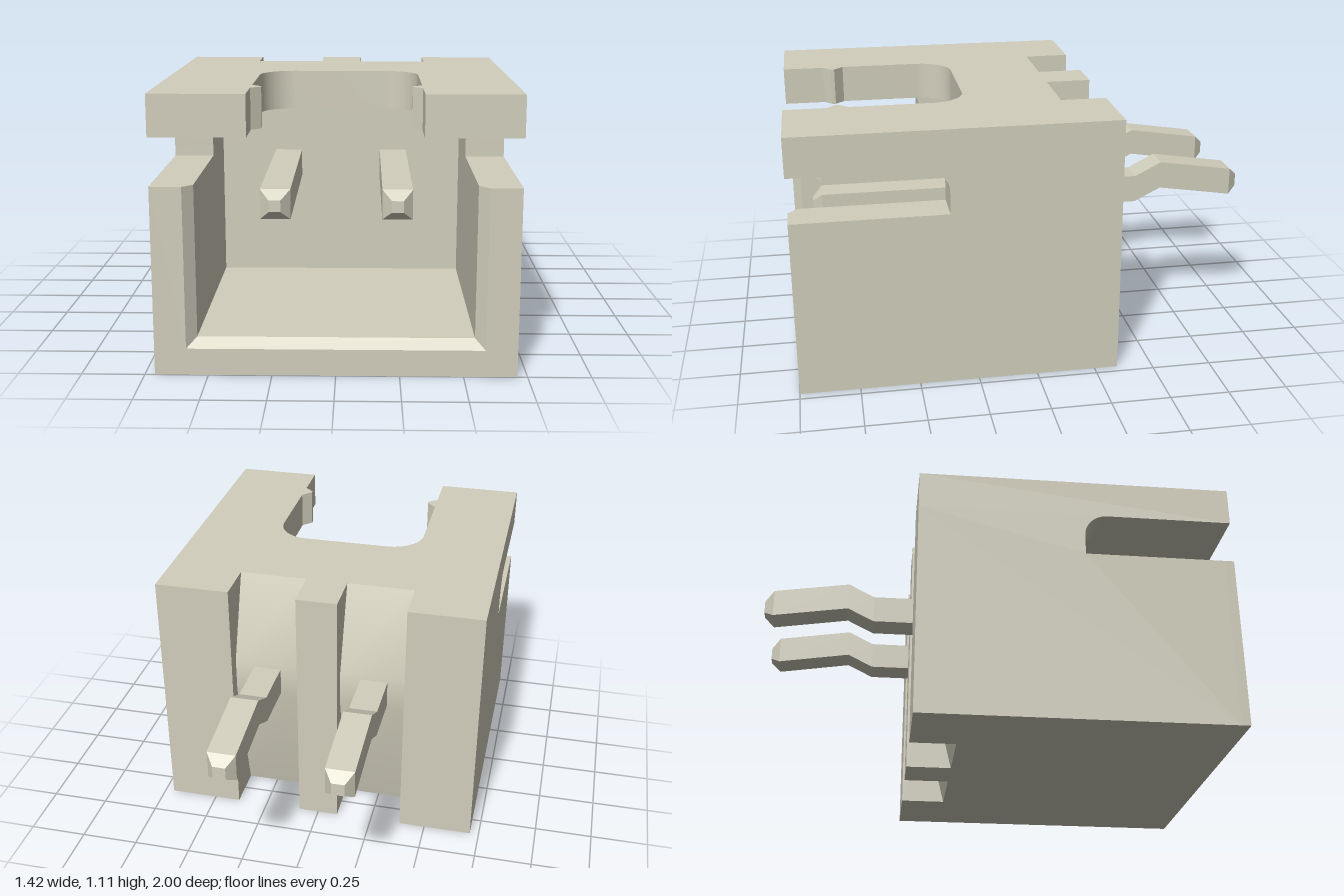
import * as THREE from 'three';
import { toCreasedNormals } from 'three/addons/utils/BufferGeometryUtils.js';

// Joins four-cornered rings into a closed, flat-shaded solid.
function loft(rings) {
  const pos = [];
  const tri = (...pts) => pts.forEach((p) => pos.push(...p));
  for (let i = 0; i < rings.length - 1; i++) {
    const a = rings[i], b = rings[i + 1];
    for (let j = 0; j < 4; j++) {
      const k = (j + 1) % 4;
      tri(a[j], b[j], b[k]);
      tri(a[j], b[k], a[k]);
    }
  }
  const s = rings[0], e = rings[rings.length - 1];
  tri(s[0], s[1], s[2]); tri(s[0], s[2], s[3]);
  tri(e[0], e[2], e[1]); tri(e[0], e[3], e[2]);
  const g = new THREE.BufferGeometry();
  g.setAttribute('position', new THREE.Float32BufferAttribute(pos, 3));
  g.computeVertexNormals();
  return g;
}

const extrude = (shape, depth) =>
  new THREE.ExtrudeGeometry(shape, { depth, bevelEnabled: false, curveSegments: 12 });

// Extrudes a (z, y) profile across x0..x1.
const acrossX = (shape, x0, x1) =>
  toCreasedNormals(extrude(shape, x1 - x0).rotateY(-Math.PI / 2).translate(x1, 0, 0), 0.5);

// Box given by its limits.
const block = (x0, x1, y0, y1, z0, z1) =>
  new THREE.BoxGeometry(x1 - x0, y1 - y0, z1 - z0)
    .translate((x0 + x1) / 2, (y0 + y1) / 2, (z0 + z1) / 2);

const polygon = (pts) => new THREE.Shape(pts.map(([x, y]) => new THREE.Vector2(x, y)));

export function createModel() {
  const model = new THREE.Group();
  model.name = 'pinHeader';
  const ivory = new THREE.MeshStandardMaterial({ color: 0xd1cebc });
  ivory.name = 'ivory';
  const add = (name, geometry) => {
    const mesh = new THREE.Mesh(geometry, ivory);
    mesh.name = name;
    model.add(mesh);
  };

  const W = 0.71, IN = 0.545, H = 1.11, ROOF = 0.945, SILL = 0.755, FLOOR = 0.145;
  const BACK = -0.35, POCKET = -0.155, LIP = 0.96;

  // Side walls with the round-cornered slot
  const wall = new THREE.Shape();
  wall.moveTo(BACK, 0);
  wall.lineTo(LIP, 0);
  wall.lineTo(LIP, SILL);
  wall.lineTo(0.36, SILL);
  wall.lineTo(0.36, 0.845);
  wall.absarc(0.46, 0.845, 0.1, Math.PI, Math.PI / 2, true);
  wall.lineTo(0.46, ROOF);
  wall.lineTo(BACK, ROOF);
  add('leftWall', acrossX(wall, IN, W));
  add('rightWall', acrossX(wall, -W, -IN));

  // Floor and back wall of the cavity
  add('floor', block(-IN, IN, 0, FLOOR, POCKET, LIP));
  add('backWall', block(-IN, IN, FLOOR, ROOF, POCKET, 0));

  // Chamfered rim around the front opening
  const rim = [[-1, SILL, SILL, SILL], [-1, 0, 0.108, FLOOR], [1, 0, 0.108, FLOOR], [1, SILL, SILL, SILL]];
  add('frontRim', loft(rim.map(([s, yo, yf, yi]) => [
    [s * W, yo, LIP], [s * W, yo, 1], [s * 0.585, yf, 1], [s * IN, yi, LIP],
  ])));

  // Top plate with rear notches and the front cut-out with its nubs
  const nub = [[0.335, 1], [0.335, 0.82], [0.295, 0.785], [0.295, 0.77], [0.335, 0.73]];
  const rear = [[0.09, BACK], [0.09, POCKET], [0.385, POCKET], [0.385, BACK], [W, BACK], [W, 1]];
  const half = [...rear, ...nub];
  const top = new THREE.Shape();
  top.moveTo(...half[0]);
  half.slice(1).forEach((p) => top.lineTo(...p));
  top.lineTo(0.335, 0.385);
  top.absarc(0.19, 0.385, 0.145, 0, -Math.PI / 2, true);
  top.absarc(-0.19, 0.385, 0.145, -Math.PI / 2, -Math.PI, true);
  [...half].reverse().forEach(([x, z]) => top.lineTo(-x, z));
  add('topPlate', toCreasedNormals(
    extrude(top, H - ROOF).rotateX(Math.PI / 2).translate(0, H, 0), 0.5));

  // Rear ribs either side of the pockets
  add('middleRib', block(-0.09, 0.09, 0, ROOF, BACK, POCKET));
  add('leftRib', block(0.385, IN, 0, ROOF, BACK, POCKET));
  add('rightRib', block(-IN, -0.385, 0, ROOF, BACK, POCKET));

  // Sloped pocket backs that swell towards the pins
  const swell = polygon([[POCKET, 0], [POCKET, H], [-0.29, 0.74], [-0.29, 0.58]]);
  add('leftPocketBack', acrossX(swell, 0.09, 0.385));
  add('rightPocketBack', acrossX(swell, -0.385, -0.09));

  // Bent pins with tapered ends: z, centre height, half width
  const path = [
    [0.9, 0.657, 0.023], [0.86, 0.657, 0.06], [-0.52, 0.657, 0.06],
    [-0.635, 0.715, 0.06], [-0.96, 0.664, 0.06], [-1, 0.658, 0.027],
  ];
  for (const [name, x] of [['leftPin', 0.24], ['rightPin', -0.24]]) {
    add(name, loft(path.map(([z, y, h]) => [
      [x - h, y - h, z], [x + h, y - h, z], [x + h, y + h, z], [x - h, y + h, z],
    ])));
  }
  return model;
}
